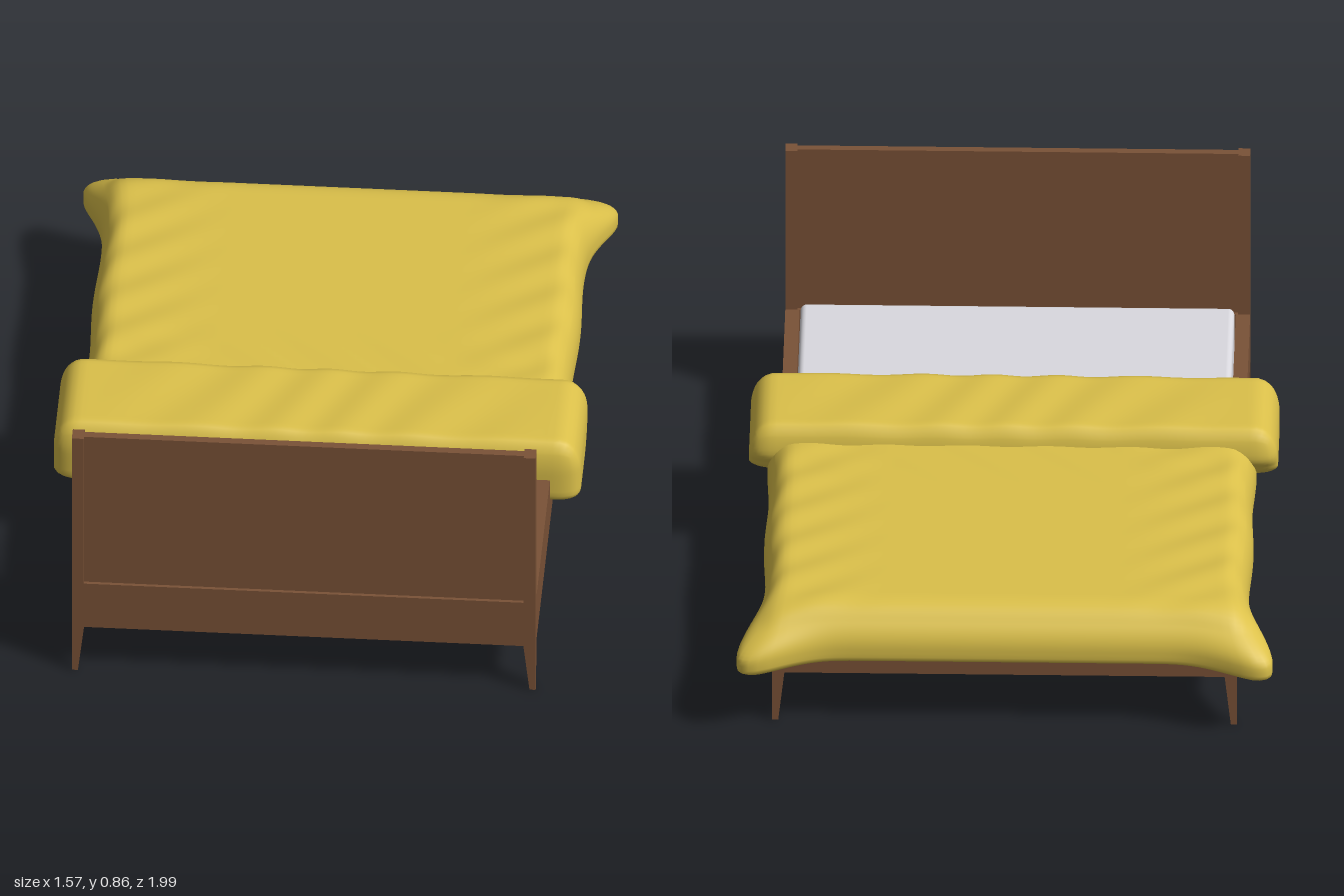
import * as THREE from 'three';
import { mergeVertices } from 'three/addons/utils/BufferGeometryUtils.js';
import { RoundedBoxGeometry } from 'three/addons/geometries/RoundedBoxGeometry.js';

const wood = new THREE.MeshStandardMaterial({ color: 0x7a5237 });
wood.name = 'walnut wood';
const cloth = new THREE.MeshStandardMaterial({ color: 0xdbc04a });
cloth.name = 'yellow cloth';
const sheet = new THREE.MeshStandardMaterial({ color: 0xdad9df });
sheet.name = 'pale sheet';

// Outer limits of the wooden frame
const X0 = -0.687, X1 = 0.672, Z0 = -0.89, Z1 = 1;
const FLOOR = 0.16, RAIL = 0.32, TOP = 0.855;

function add(parent, name, geometry, material) {
  const mesh = new THREE.Mesh(geometry, material);
  mesh.name = name;
  parent.add(mesh);
  return mesh;
}

// Box given by its limits on each axis
function block(parent, name, [x0, x1], [y0, y1], [z0, z1]) {
  const g = new THREE.BoxGeometry(x1 - x0, y1 - y0, z1 - z0);
  g.translate((x0 + x1) / 2, (y0 + y1) / 2, (z0 + z1) / 2);
  return add(parent, name, g, wood);
}

// Leg that tapers towards its outer corner
function leg(parent, x, z, sx, sz) {
  const g = new THREE.BoxGeometry(1, FLOOR, 1);
  const p = g.attributes.position;
  for (let i = 0; i < p.count; i++) {
    const size = p.getY(i) < 0 ? 0.018 : 0.036;
    p.setXYZ(i, x - sx * size * (0.5 - sx * p.getX(i)), p.getY(i) + FLOOR / 2,
      z - sz * size * (0.5 - sz * p.getZ(i)));
  }
  g.computeVertexNormals();
  add(parent, 'leg', g, wood);
}

// Soft box: each side has its own rounding radius, then a rule shapes the cloth
function softBox(min, max, rMin, rMax, segments, rule) {
  const g = new THREE.BoxGeometry(1, 1, 1, ...segments);
  g.deleteAttribute('normal');
  g.deleteAttribute('uv');
  const p = g.attributes.position;
  const v = new THREE.Vector3();
  for (let i = 0; i < p.count; i++) {
    const inner = [], d = [], r = [];
    for (let a = 0; a < 3; a++) {
      const q = min[a] + (max[a] - min[a]) * (p.getComponent(i, a) + 0.5);
      inner[a] = THREE.MathUtils.clamp(q, min[a] + rMin[a], max[a] - rMax[a]);
      r[a] = q < inner[a] ? rMin[a] : rMax[a];
      d[a] = (q - inner[a]) / r[a];
    }
    const len = Math.hypot(...d);
    v.fromArray(inner.map((c, a) => c + (d[a] / len) * r[a]));
    rule(v);
    p.setXYZ(i, v.x, v.y, v.z);
  }
  const merged = mergeVertices(g, 1e-5);
  merged.computeVertexNormals();
  return merged;
}

const smooth = THREE.MathUtils.smoothstep;

export function createModel() {
  const bed = new THREE.Group();
  bed.name = 'bed';

  // Frame: rails, base and legs
  const frame = new THREE.Group();
  frame.name = 'frame';
  bed.add(frame);
  block(frame, 'base', [X0 + 0.01, X1 - 0.01], [FLOOR, 0.2], [Z0 + 0.01, 0.98]);
  for (const [a, b] of [[X0, X0 + 0.042], [X1 - 0.042, X1]])
    block(frame, 'sideRail', [a, b], [FLOOR, RAIL], [Z0, 0.956]);
  block(frame, 'footRail', [X0 + 0.042, X1 - 0.042], [FLOOR, RAIL], [Z0, Z0 + 0.042]);
  for (const [x, sx] of [[X0, -1], [X1, 1]])
    for (const [z, sz] of [[Z0, -1], [Z1, 1]]) leg(frame, x, z, sx, sz);

  // Headboard: lower board, two posts and a recessed panel
  const headboard = new THREE.Group();
  headboard.name = 'headboard';
  bed.add(headboard);
  block(headboard, 'lowerBoard', [X0, X1], [FLOOR, RAIL], [0.956, Z1]);
  for (const [a, b] of [[X0, X0 + 0.035], [X1 - 0.035, X1]])
    block(headboard, 'post', [a, b], [RAIL, TOP], [0.956, Z1]);
  block(headboard, 'panel', [X0 + 0.035, X1 - 0.035], [RAIL, TOP], [0.966, 0.99]);

  // Mattress
  const mattress = add(bed, 'mattress', new RoundedBoxGeometry(1.268, 0.155, 1.78, 4, 0.018), sheet);
  mattress.position.set(-0.0075, 0.2775, 0.05);

  // Duvet with drooping, flared corners at the foot
  add(bed, 'duvet', softBox([-0.72, 0.215, -0.935], [0.702, 0.386, 0.14],
    [0.075, 0.03, 0.12], [0.075, 0.11, 0.03], [72, 14, 60], v => {
      const side = Math.sign(v.x);
      const cx = side < 0 ? -0.705 : 0.69;
      const near = Math.exp(-((v.x - cx) ** 2 + (v.z + 0.91) ** 2) / 0.011);
      const low = 1 - 0.7 * smooth(v.y, 0.27, 0.38);
      const top = smooth(v.y, 0.35, 0.38);
      const edge = smooth(Math.abs(v.x), 0.3, 0.6);
      // fine creases near the borders
      v.y += top * 0.003 * edge * Math.sin(v.z * 34 + v.x * 22);
      v.y += top * 0.002 * smooth(v.z, -0.3, 0) * Math.sin(v.x * 26 - v.z * 30);
      v.x += side * 0.004 * smooth(Math.abs(v.x), 0.6, 0.7) * Math.sin(v.z * 13);
      // foot edge dips, corners pull outwards and down
      v.y -= 0.012 * smooth(-v.z, 0.8, 0.93) * (1 - top);
      v.x += side * 0.088 * near * low;
      v.z -= 0.078 * near * low;
      v.y -= 0.02 * near;
    }), cloth);

  // Turned-back fold lying across the duvet
  add(bed, 'duvetFold', softBox([-0.785, 0.232, 0.05], [0.76, 0.44, 0.412],
    [0.07, 0.03, 0.04], [0.07, 0.1, 0.04], [76, 14, 24], v => {
      const top = smooth(v.y, 0.38, 0.43);
      const mid = smooth(0.7 - Math.abs(v.x), 0, 0.25);
      v.y += top * mid * 0.003 * Math.sin(v.x * 24 + v.z * 16 + 2 * Math.sin(v.x * 5));
      // lower edge rises towards the foot, the lip curls in
      const back = smooth(-v.z, -0.24, -0.05);
      const under = 1 - smooth(v.y, 0.23, 0.36);
      v.y += 0.05 * back * back * under;
      v.z += 0.03 * back * under;
      v.z += 0.003 * Math.sin(v.x * 9) * under;
    }), cloth);

  return bed;
}
